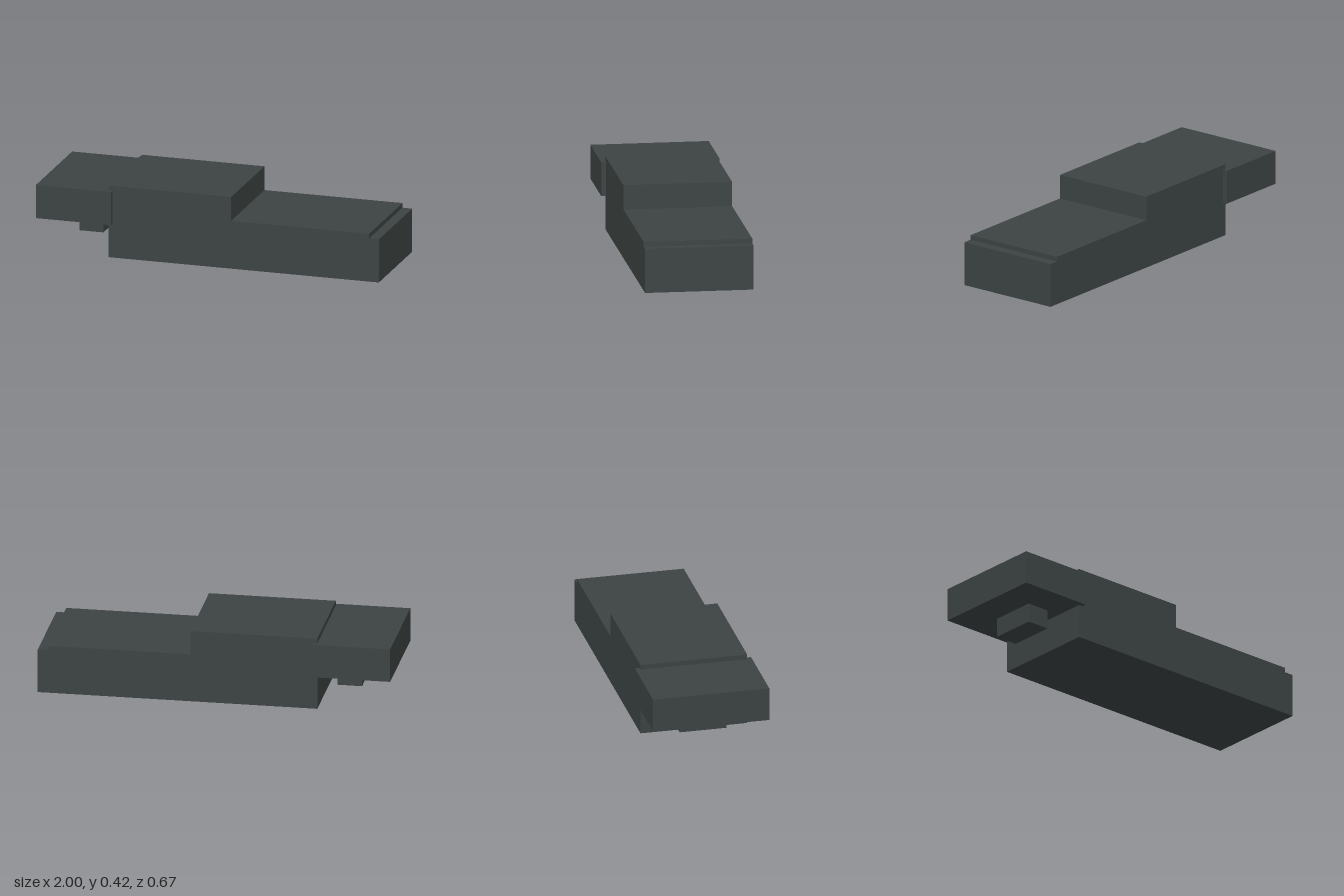
import * as THREE from 'three';

export function createModel() {
  const model = new THREE.Group();
  const darkGrey = new THREE.MeshStandardMaterial({ color: 0x3c4342 });
  darkGrey.name = 'darkGrey';

  function add(name, geometry, x, y, z) {
    const mesh = new THREE.Mesh(geometry, darkGrey);
    mesh.name = name;
    mesh.position.set(x, y, z);
    model.add(mesh);
  }

  // Box given by its x range, y range and depth, centred on z = 0
  function block(name, x0, x1, y0, y1, depth) {
    add(name, new THREE.BoxGeometry(x1 - x0, y1 - y0, depth), (x0 + x1) / 2, (y0 + y1) / 2, 0);
  }

  // Stepped main body: side profile extruded across the width
  const depth = 0.612;
  const profile = new THREE.Shape([
    [-0.583, 0], [1, 0], [1, 0.252], [0.943, 0.252],
    [0.943, 0.279], [0.135, 0.279], [0.135, 0.418], [-0.583, 0.418],
  ].map(([x, y]) => new THREE.Vector2(x, y)));
  add('body', new THREE.ExtrudeGeometry(profile, { depth, bevelEnabled: false }), 0, 0, -depth / 2);

  // Wider overhanging end with a small block beneath it
  block('endBlock', -1, -0.56, 0.197, 0.39, 0.667);
  block('underBlock', -0.807, -0.668, 0.086, 0.197, 0.27);

  return model;
}
